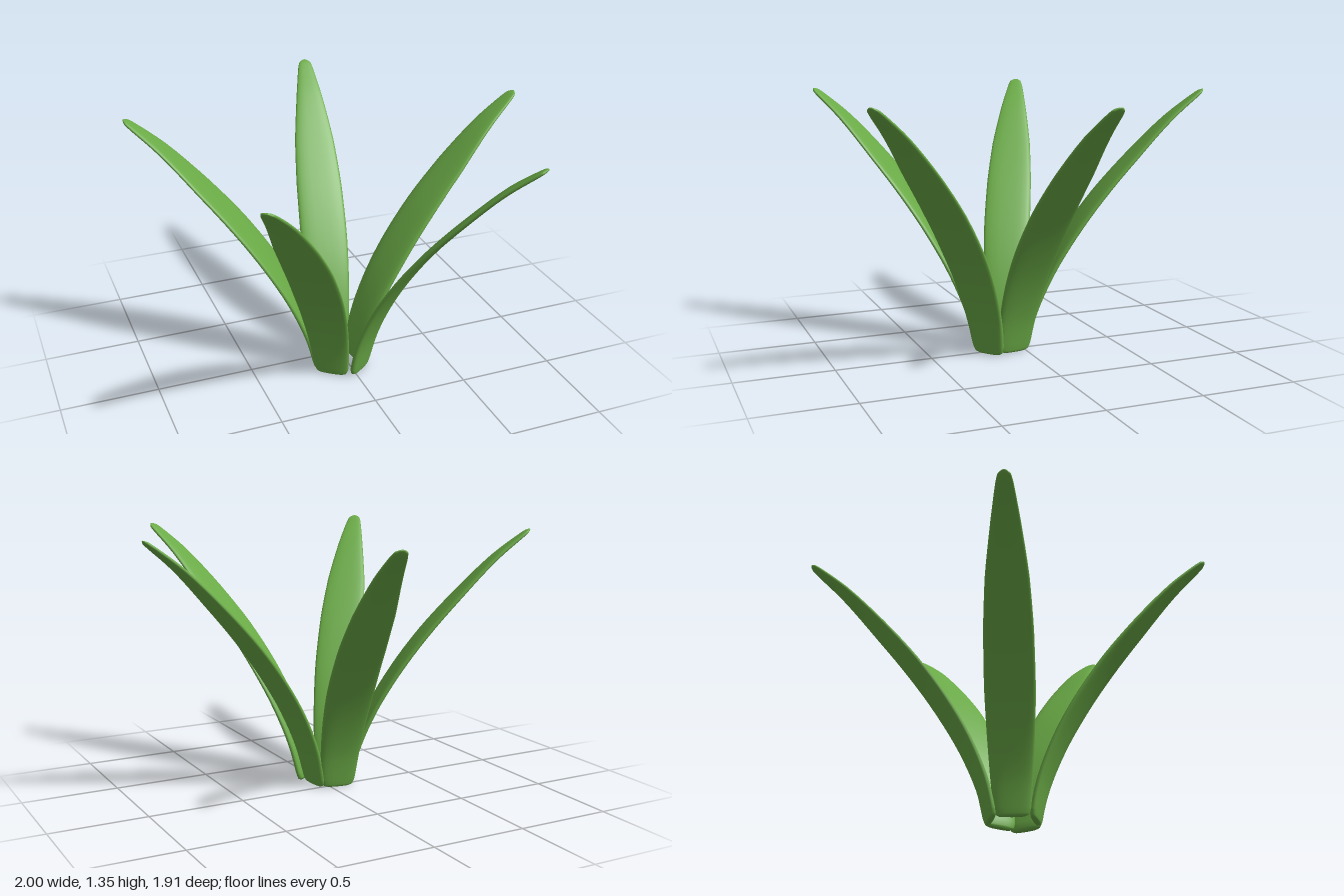
import * as THREE from 'three';

// Leaf stations: [share of the reach, height, half width, half thickness]
const STATIONS = [
  [0, 0.003, 0.062, 0.011],
  [0.002, 0.012, 0.08, 0.018],
  [0.008, 0.045, 0.092, 0.021],
  [0.05, 0.2, 0.106, 0.021],
  [0.14, 0.4, 0.119, 0.02],
  [0.265, 0.6, 0.126, 0.019],
  [0.42, 0.8, 0.123, 0.018],
  [0.605, 1.0, 0.107, 0.016],
  [0.81, 1.2, 0.07, 0.014],
  [0.955, 1.312, 0.041, 0.011],
  [0.985, 1.334, 0.031, 0.009],
  [1, 1.345, 0.012, 0.004],
];

// Base and tip of each leaf on the ground plane: [x, z, x, z]
const LEAVES = [
  [-0.04, -0.02, 0.163, -0.955],
  [0.05, 0.067, 0.998, -0.048],
  [0.035, 0.2, 0.61, 0.94],
  [-0.115, 0.185, -0.675, 0.92],
  [-0.14, 0.05, -0.99, -0.36],
];

const SIDES = 24, STEPS = 44;
const spow = (v, p) => Math.sign(v) * Math.pow(Math.abs(v), p);

// Sweeps a flat rounded cross-section along the arching spine
function leafGeometry(reach) {
  const spine = new THREE.CatmullRomCurve3(STATIONS.map(s => new THREE.Vector3(s[0] * reach, s[1], 0)));
  const sizes = new THREE.CatmullRomCurve3(STATIONS.map(s => new THREE.Vector3(s[2], s[3], 0)));
  const pos = [], idx = [];
  for (let i = 0; i <= STEPS; i++) {
    const t = i / STEPS;
    const p = spine.getPoint(t), d = spine.getTangent(t), size = sizes.getPoint(t);
    for (let j = 0; j < SIDES; j++) {
      const a = (j / SIDES) * Math.PI * 2;
      const w = size.x * spow(Math.cos(a), 0.8);
      const h = size.y * spow(Math.sin(a), 0.7);
      pos.push(p.x - d.y * h, Math.max(0, p.y + d.x * h), w);
    }
  }
  for (let i = 0; i < STEPS; i++) {
    for (let j = 0; j < SIDES; j++) {
      const k = (j + 1) % SIDES;
      const a = i * SIDES + j, b = i * SIDES + k, c = a + SIDES, e = b + SIDES;
      idx.push(a, c, b, b, c, e);
    }
  }
  // Close the foot and the tip with fans
  const foot = pos.length / 3, tip = foot + 1, last = STEPS * SIDES;
  pos.push(0, 0, 0, reach + 0.003, 1.348, 0);
  for (let j = 0; j < SIDES; j++) {
    const k = (j + 1) % SIDES;
    idx.push(foot, j, k, tip, last + k, last + j);
  }
  const geo = new THREE.BufferGeometry();
  geo.setAttribute('position', new THREE.Float32BufferAttribute(pos, 3));
  geo.setIndex(idx);
  geo.computeVertexNormals();
  return geo;
}

export function createModel() {
  const group = new THREE.Group();
  group.name = 'leafyPlant';
  const green = new THREE.MeshStandardMaterial({ color: 0x6aaa46, side: THREE.DoubleSide });

  LEAVES.forEach(([bx, bz, tx, tz], i) => {
    const leaf = new THREE.Mesh(leafGeometry(Math.hypot(tx - bx, tz - bz)), green);
    leaf.name = `leaf${i + 1}`;
    leaf.position.set(bx, 0, bz);
    leaf.rotation.y = -Math.atan2(tz - bz, tx - bx);
    group.add(leaf);
  });
  return group;
}
